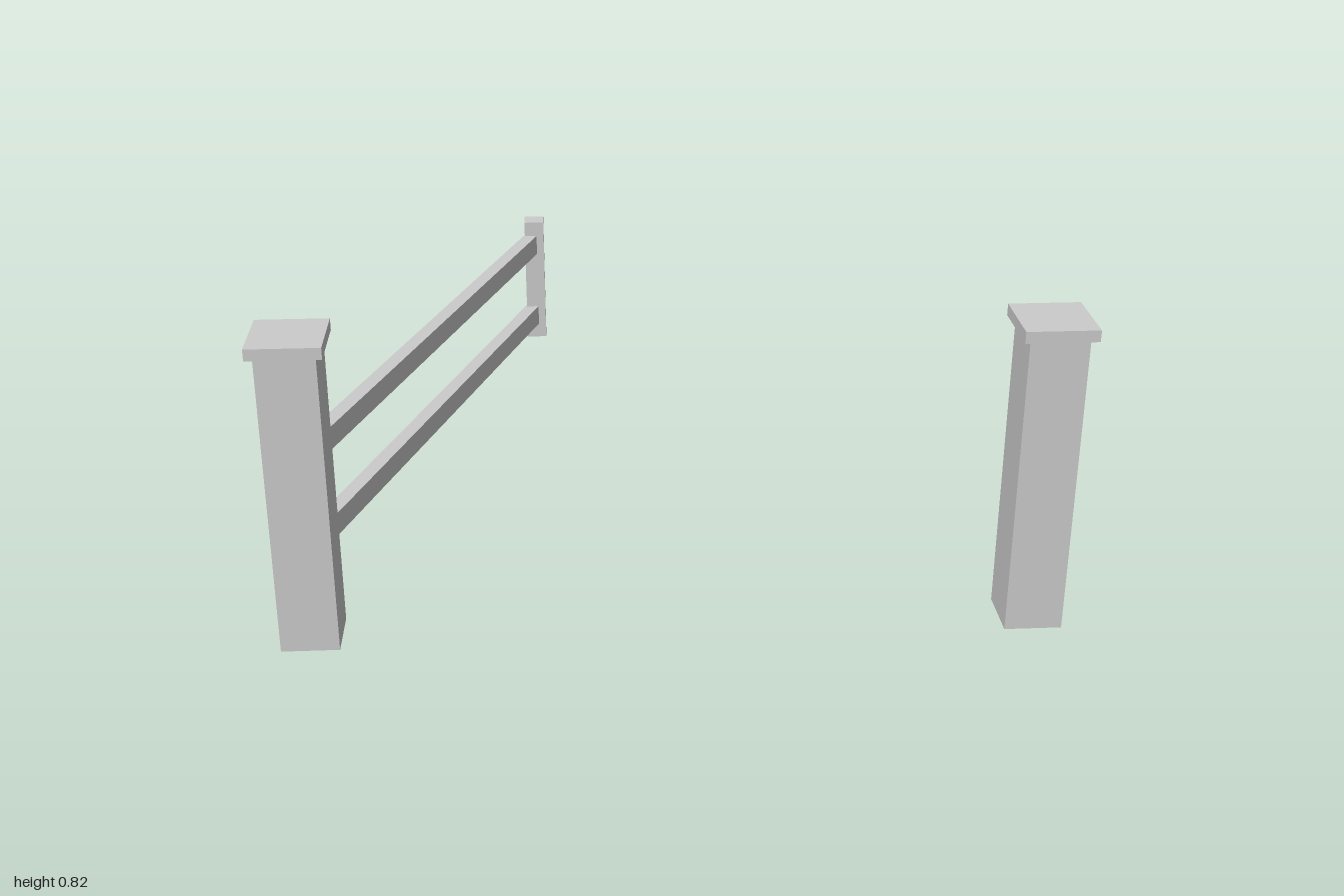
import * as THREE from 'three';

const material = new THREE.MeshStandardMaterial({ color: 0xcccccc, flatShading: true });

function box(name, w, h, d, x, y, z) {
  const mesh = new THREE.Mesh(new THREE.BoxGeometry(w, h, d), material);
  mesh.name = name;
  mesh.position.set(x, y, z);
  return mesh;
}

export function createModel() {
  const model = new THREE.Group();
  model.name = 'openGate';

  // Two capped gate posts
  for (const side of [-1, 1]) {
    const post = new THREE.Group();
    post.name = side < 0 ? 'rightPost' : 'leftPost';
    post.position.set(side * 0.91, 0, 0.74);
    post.add(box('postShaft', 0.146, 0.795, 0.146, 0, 0.3975, 0));
    post.add(box('postCap', 0.18, 0.03, 0.18, 0, 0.81, 0));
    model.add(post);
  }

  // Gate leaf swung open: rails run from the post to the end upright
  const hinge = new THREE.Vector3(-0.905, 0, 0.715);
  const end = new THREE.Vector3(-0.353, 0, -0.8);
  const length = hinge.distanceTo(end);
  const middle = hinge.clone().lerp(end, 0.5);
  for (const [name, y] of [['lowerRail', 0.246], ['upperRail', 0.488]]) {
    const rail = box(name, 0.04, 0.061, length, middle.x, y, middle.z);
    rail.rotation.y = Math.atan2(end.x - hinge.x, end.z - hinge.z);
    model.add(rail);
  }
  model.add(box('endUpright', 0.06, 0.394, 0.06, -0.35, 0.367, -0.8));

  return model;
}
